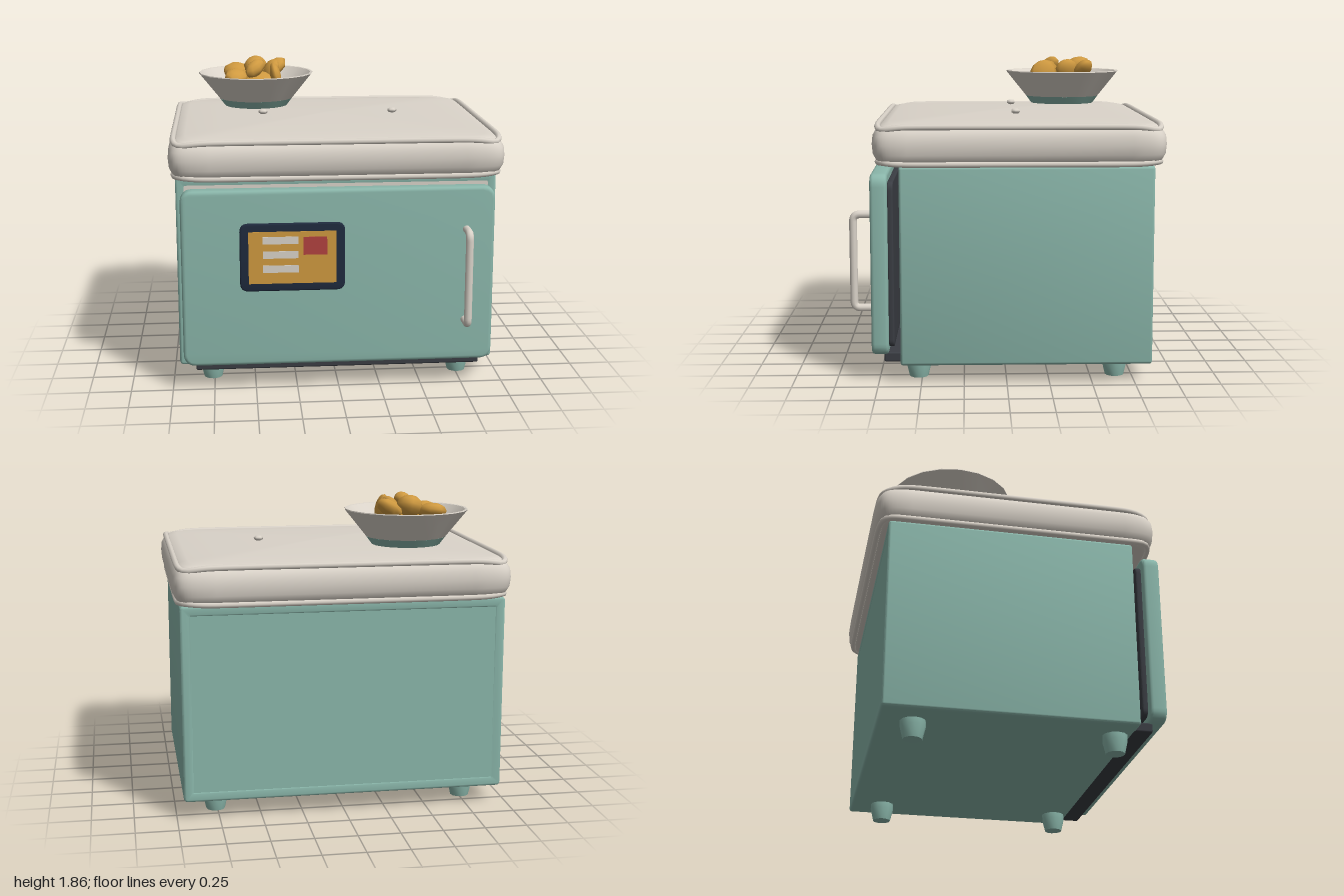
import * as THREE from 'three';
import { toCreasedNormals } from 'three/addons/utils/BufferGeometryUtils.js';
import { RoundedBoxGeometry } from 'three/addons/geometries/RoundedBoxGeometry.js';

const mat = (name, color) => Object.assign(new THREE.MeshStandardMaterial({ color }), { name });

// Path of a rounded rectangle centred on the origin
function roundRect(path, w, h, r) {
  const x = w / 2, y = h / 2;
  path.moveTo(-x + r, -y);
  path.lineTo(x - r, -y); path.quadraticCurveTo(x, -y, x, -y + r);
  path.lineTo(x, y - r); path.quadraticCurveTo(x, y, x - r, y);
  path.lineTo(-x + r, y); path.quadraticCurveTo(-x, y, -x, y - r);
  path.lineTo(-x, -y + r); path.quadraticCurveTo(-x, -y, -x + r, -y);
  return path;
}

// Bevelled slab spanning z = 0..d, optionally with a rectangular hole
function slab(w, h, d, r, bevel, hole) {
  const shape = roundRect(new THREE.Shape(), w - 2 * bevel, h - 2 * bevel, Math.max(r - bevel, 0.003));
  if (hole) shape.holes.push(roundRect(new THREE.Path(), hole[0], hole[1], 0.01));
  const geo = new THREE.ExtrudeGeometry(shape, {
    depth: d - 2 * bevel, bevelEnabled: bevel > 0, bevelSize: bevel,
    bevelThickness: bevel, bevelSegments: 3, curveSegments: 6,
  });
  geo.translate(0, 0, bevel);
  return toCreasedNormals(geo, 0.6);
}

// Softly squared plan outline of the cushion
const HX = 1.0, HZ = 0.855, CZ = -0.075;
function outline(t, inset, scale = 1) {
  const sq = (v) => Math.sign(v) * Math.pow(Math.abs(v) < 1e-9 ? 0 : Math.abs(v), 0.12);
  return [(HX - inset) * sq(Math.cos(t)) * scale, CZ + (HZ - inset) * sq(Math.sin(t)) * scale];
}

// Padded body lofted from closed rings [inset, y, scale]
function cushionGeometry() {
  const rings = [
    [0.06, 1.275, 0], [0.06, 1.278, 1], [0.025, 1.305, 1], [0.005, 1.345, 1], [0, 1.4, 1],
    [0.005, 1.45, 1], [0.025, 1.485, 1], [0.055, 1.508, 1], [0.055, 1.518, 0.95],
    [0.055, 1.528, 0.75], [0.055, 1.538, 0.45], [0.055, 1.545, 0.2], [0.055, 1.549, 0],
  ];
  const N = 64, pos = [], idx = [];
  rings.forEach(([inset, y, s], i) => {
    for (let j = 0; j < N; j++) {
      const [x, z] = outline((j / N) * Math.PI * 2, inset, s);
      pos.push(x, y, z);
      if (i === rings.length - 1) continue;
      const a = i * N + j, b = i * N + (j + 1) % N;
      idx.push(a, a + N, b, b, a + N, b + N);
    }
  });
  const geo = new THREE.BufferGeometry();
  geo.setAttribute('position', new THREE.Float32BufferAttribute(pos, 3));
  geo.setIndex(idx);
  geo.computeVertexNormals();
  return geo;
}

// Welt cord round the cushion, bending by "sag" at the corners
function pipingGeometry(y, sag) {
  const pts = [];
  for (let j = 0; j < 64; j++) {
    const t = (j / 64) * Math.PI * 2;
    const [x, z] = outline(t, 0.032);
    pts.push(new THREE.Vector3(x, y - sag * Math.pow(Math.sin(2 * t), 2), z));
  }
  return new THREE.TubeGeometry(new THREE.CatmullRomCurve3(pts, true), 192, 0.018, 8, true);
}

export function createModel() {
  const teal = mat('teal enamel', 0x8ab6aa);
  const cream = mat('cream', 0xdad3c9);
  const charcoal = mat('charcoal rubber', 0x3a3d43);
  const navy = mat('navy frame', 0x1f2a3d);
  const amber = mat('amber', 0xd09a40);
  const red = mat('red', 0xb2423f);

  const model = new THREE.Group();
  model.name = 'miniFridge';
  const group = (name) => {
    const g = new THREE.Group();
    g.name = name;
    model.add(g);
    return g;
  };
  const add = (parent, name, geo, material, x = 0, y = 0, z = 0) => {
    const m = new THREE.Mesh(geo, material);
    m.name = name;
    m.position.set(x, y, z);
    parent.add(m);
    return m;
  };
  const box = (w, h, d) => new THREE.BoxGeometry(w, h, d);

  // Cabinet shell, open at the front, with a pale liner
  const cabinet = group('cabinet');
  add(cabinet, 'cabinetShell', slab(1.92, 1.17, 1.47, 0.025, 0.015, [1.82, 1.07]), teal, 0, 0.695, -0.85);
  add(cabinet, 'cabinetBack', box(1.86, 1.11, 0.04), teal, 0, 0.695, -0.828);
  add(cabinet, 'linerWalls', slab(1.82, 1.07, 1.42, 0.01, 0, [1.74, 0.99]), cream, 0, 0.695, -0.8);
  add(cabinet, 'linerBack', box(1.8, 1.05, 0.02), cream, 0, 0.695, -0.79);
  for (const y of [0.5, 0.84]) add(cabinet, 'shelf', box(1.74, 0.025, 1.2), cream, 0, y, -0.12);
  add(cabinet, 'kickPlate', new RoundedBoxGeometry(1.72, 0.058, 0.12, 2, 0.01), charcoal, 0, 0.139, 0.66);

  // Food stored on the shelves
  const food = group('storedFood');
  add(food, 'redCarton', box(0.22, 0.2, 0.2), red, 0.15, 0.952, 0.36);
  add(food, 'darkCarton', box(0.2, 0.2, 0.2), navy, 0.6, 0.952, 0.36);
  add(food, 'creamCarton', box(0.3, 0.2, 0.2), cream, -0.45, 0.952, 0.36);

  // Tapered feet
  for (const x of [-0.76, 0.76]) for (const z of [-0.65, 0.52]) {
    const foot = new THREE.LatheGeometry([[0, 0], [0.056, 0], [0.074, 0.075], [0.074, 0.12], [0, 0.12]]
      .map(([r, y]) => new THREE.Vector2(r, y)), 12);
    add(model, 'foot', toCreasedNormals(foot, 0.7), teal, x, 0, z);
  }

  // Door with its seal, handle and display
  const door = group('door');
  add(door, 'doorPanel', slab(1.855, 1.07, 0.1, 0.075, 0.02), teal, -0.003, 0.695, 0.69);
  add(door, 'doorSeal', slab(1.76, 0.98, 0.035, 0.05, 0.008), charcoal, 0, 0.69, 0.658);

  const grip = new THREE.CurvePath();
  const v = (y, z) => new THREE.Vector3(0.755, y, z);
  grip.add(new THREE.LineCurve3(v(0.415, 0.775), v(0.415, 0.86)));
  grip.add(new THREE.QuadraticBezierCurve3(v(0.415, 0.86), v(0.415, 0.9), v(0.455, 0.9)));
  grip.add(new THREE.LineCurve3(v(0.455, 0.9), v(0.935, 0.9)));
  grip.add(new THREE.QuadraticBezierCurve3(v(0.935, 0.9), v(0.975, 0.9), v(0.975, 0.86)));
  grip.add(new THREE.LineCurve3(v(0.975, 0.86), v(0.975, 0.775)));
  add(door, 'doorHandle', new THREE.TubeGeometry(grip, 80, 0.023, 10), cream);

  add(door, 'displayFrame', slab(0.62, 0.41, 0.03, 0.05, 0.008), navy, -0.278, 0.83, 0.778);
  add(door, 'displayScreen', box(0.518, 0.315, 0.004), amber, -0.278, 0.83, 0.809);
  for (const y of [0.935, 0.848, 0.762]) add(door, 'displayBar', box(0.21, 0.044, 0.004), cream, -0.348, y, 0.812);
  add(door, 'displaySquare', box(0.14, 0.108, 0.004), red, -0.145, 0.9, 0.812);

  // Cushion with welted edges and two tufting buttons
  const cushion = group('cushion');
  add(cushion, 'cushionPad', cushionGeometry(), cream);
  add(cushion, 'upperPiping', pipingGeometry(1.505, 0.02), cream);
  add(cushion, 'lowerPiping', pipingGeometry(1.292, -0.008), cream);
  for (const x of [-0.415, 0.415]) {
    add(cushion, 'cushionButton', new THREE.SphereGeometry(0.031, 6, 5), cream, x, 1.555, -0.068)
      .scale.y = 0.55;
  }

  // Bowl with a coloured foot band
  const bowl = group('snackBowl');
  bowl.position.set(-0.45, 0, -0.415);
  const lathe = (pts) => toCreasedNormals(
    new THREE.LatheGeometry(pts.map(([r, y]) => new THREE.Vector2(r, y)), 20), 0.5);
  add(bowl, 'bowlFoot', lathe([[0, 1.55], [0.208, 1.55], [0.244, 1.598], [0, 1.598]]), teal);
  add(bowl, 'bowlWall', lathe([[0.242, 1.596], [0.376, 1.762], [0.374, 1.768], [0.362, 1.766],
    [0.22, 1.612], [0, 1.602]]), cream);

  // Snack pieces: position, half sizes, rotation
  const pieces = [
    [-0.13, 1.76, -0.13, 0.085, 0.05, 0.095, 0.2, 0.4, 0.1],
    [0.0, 1.79, -0.1, 0.08, 0.065, 0.095, 0.3, 0, 0.2],
    [0.13, 1.78, -0.13, 0.09, 0.045, 0.065, 0.3, 0.45, 0.5],
    [-0.13, 1.75, 0.12, 0.075, 0.045, 0.095, 0.2, -0.4, -0.2],
    [-0.005, 1.8, 0.085, 0.085, 0.05, 0.05, 0.2, 0.8, 0.4],
    [0.125, 1.76, 0.13, 0.035, 0.08, 0.095, 0.4, 0.1, 0.2],
    [-0.1, 1.72, 0.0, 0.09, 0.06, 0.07, 0, 0.3, 0],
    [0.1, 1.77, -0.02, 0.045, 0.08, 0.08, 0.3, 0.2, -0.5],
    [0.02, 1.7, 0.0, 0.14, 0.07, 0.13, 0, 0, 0],
  ];
  const snackGeo = new THREE.SphereGeometry(1, 8, 6);
  for (const [x, y, z, a, b, c, rx, ry, rz] of pieces) {
    const s = add(bowl, 'snackPiece', snackGeo, amber, x, y, z);
    s.scale.set(a, b, c);
    s.rotation.set(rx, ry, rz);
  }
  return model;
}
